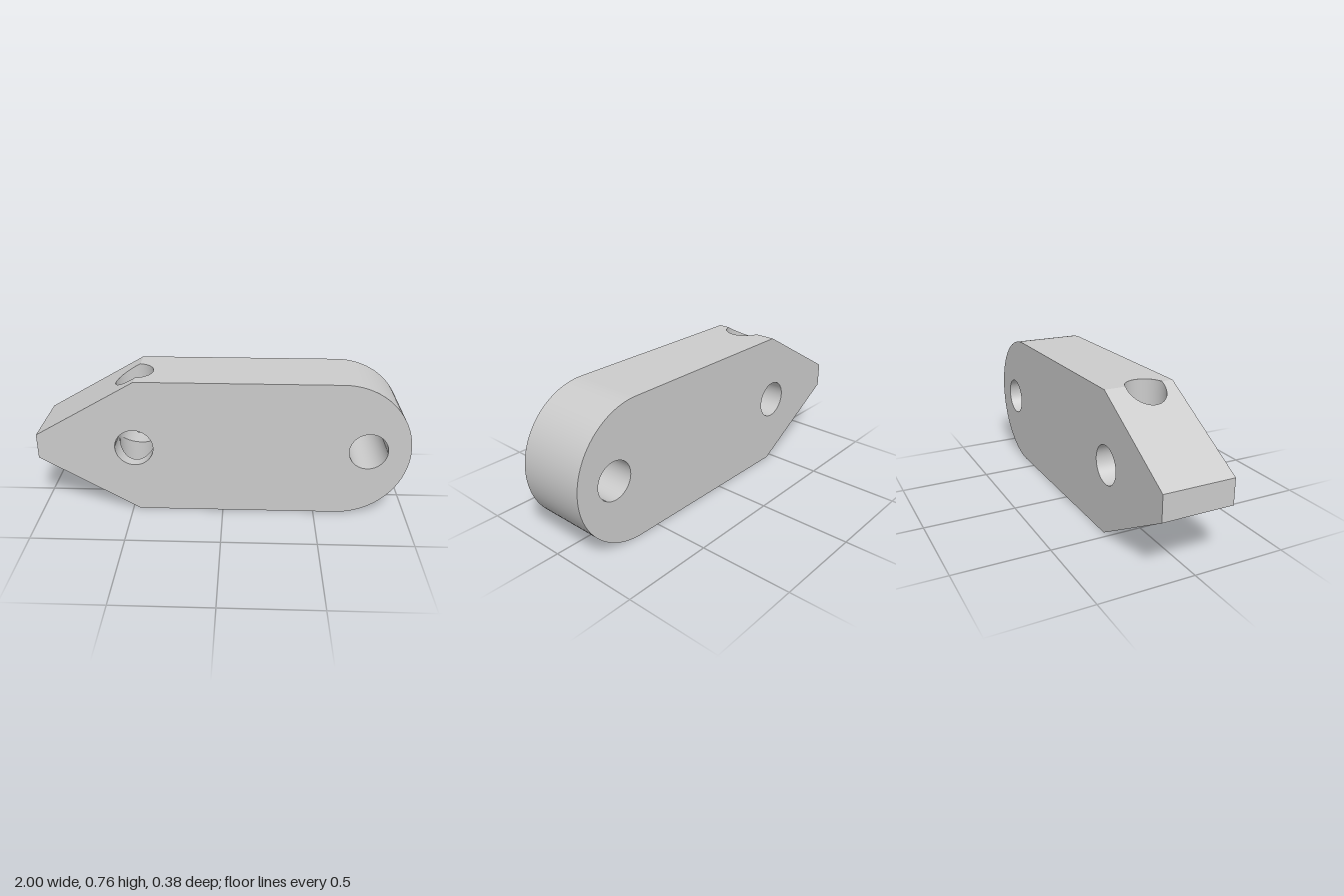
import * as THREE from 'three';

const H = 0.38;          // half height, also the radius of the round end
const D = 0.19;          // half depth
const CAP = 1 - H;       // centre of the round end
const RIDGE = -0.46;     // where the taper starts
const TIP = 0.068;       // half height of the blunt tip
const R = 0.103;         // radius of every hole
const HX = -0.478;       // crossing holes
const HZ = 0.026;        // vertical hole is slightly off centre
const PIN = 0.776;       // hole in the round end
const SEG = 96;

const halfHeight = (x) => (x >= RIDGE ? H : TIP + ((x + 1) / (RIDGE + 1)) * (H - TIP));

// Side outline with its two holes
function sideShape() {
  const s = new THREE.Shape();
  s.moveTo(-1, -TIP);
  s.lineTo(RIDGE, -H);
  s.lineTo(CAP, -H);
  s.absarc(CAP, 0, H, -Math.PI / 2, Math.PI / 2, false);
  s.lineTo(RIDGE, H);
  s.lineTo(-1, TIP);
  for (const x of [HX, PIN]) {
    s.holes.push(new THREE.Path().absarc(x, 0, R, 0, Math.PI * 2, true));
  }
  return s;
}

// Top (s = 1) or bottom (s = -1): the vertical hole bites into both pieces at the ridge
function rimGeometry(s, sloped) {
  const w = -s * HZ;
  const t = Math.acos((RIDGE - HX) / R);
  const shape = new THREE.Shape();
  if (sloped) {
    shape.moveTo(-1, -D);
    shape.lineTo(RIDGE, -D);
    shape.absarc(HX, w, R, -t, t, true);
    shape.lineTo(RIDGE, D);
    shape.lineTo(-1, D);
  } else {
    shape.moveTo(CAP, -D);
    shape.lineTo(CAP, D);
    shape.lineTo(RIDGE, D);
    shape.absarc(HX, w, R, t, -t, true);
    shape.lineTo(RIDGE, -D);
  }
  const g = new THREE.ShapeGeometry(shape, 48);
  const p = g.attributes.position;
  for (let i = 0; i < p.count; i++) p.setZ(i, halfHeight(p.getX(i)));
  g.computeVertexNormals();
  return g.rotateX(-s * Math.PI / 2);
}

// Inward-facing tube along z whose two ends follow lo(a) and hi(a)
function wallGeometry(lo, hi) {
  const g = new THREE.PlaneGeometry(1, 1, SEG, 1);
  const p = g.attributes.position;
  for (let i = 0; i < p.count; i++) {
    const a = -(p.getX(i) + 0.5) * Math.PI * 2;
    const z = p.getY(i) > 0 ? hi(a) : lo(a);
    p.setXYZ(i, R * Math.cos(a), R * Math.sin(a), z);
    g.attributes.normal.setXYZ(i, -Math.cos(a), -Math.sin(a), 0);
  }
  return g;
}

export function createModel() {
  const group = new THREE.Group();
  const solid = new THREE.MeshStandardMaterial({ color: 0xcccccc });
  const open = new THREE.MeshStandardMaterial({ color: 0xcccccc, side: THREE.DoubleSide });
  const add = (name, geometry, material = solid) => {
    const mesh = new THREE.Mesh(geometry.translate(0, H, 0), material);
    mesh.name = name;
    group.add(mesh);
  };

  // Flat front and back
  add('frontFace', new THREE.ShapeGeometry(sideShape(), 48).translate(0, 0, D));
  const back = new THREE.ShapeGeometry(sideShape(), 48).rotateX(Math.PI);
  add('backFace', back.translate(0, 0, -D));

  // Rim: flats, tapers, round end and blunt tip
  for (const [s, side] of [[1, 'top'], [-1, 'bottom']]) {
    add(side + 'Flat', rimGeometry(s, false));
    add(side + 'Taper', rimGeometry(s, true));
  }
  const cap = new THREE.CylinderGeometry(H, H, 2 * D, 48, 1, true, 0, Math.PI);
  add('roundEnd', cap.rotateX(Math.PI / 2).translate(CAP, 0, 0));
  add('bluntTip', new THREE.PlaneGeometry(2 * D, 2 * TIP).rotateY(-Math.PI / 2).translate(-1, 0, 0));

  // Plain hole through the round end
  add('pinHole', wallGeometry(() => -D, () => D).translate(PIN, 0, 0), open);

  // Two equal holes crossing at right angles, mitred where they meet
  const mitre = (a) => R * Math.abs(Math.sin(a));
  const rim = (a) => halfHeight(HX + R * Math.cos(a));
  add('crossHoleFront', wallGeometry((a) => HZ + mitre(a), () => D).translate(HX, 0, 0), open);
  add('crossHoleBack', wallGeometry(() => -D, (a) => HZ - mitre(a)).translate(HX, 0, 0), open);
  const upright = (lo, hi) => wallGeometry(lo, hi).rotateX(-Math.PI / 2).translate(HX, 0, HZ);
  add('verticalHoleTop', upright(mitre, rim), open);
  add('verticalHoleBottom', upright((a) => -rim(a), (a) => -mitre(a)), open);

  return group;
}
